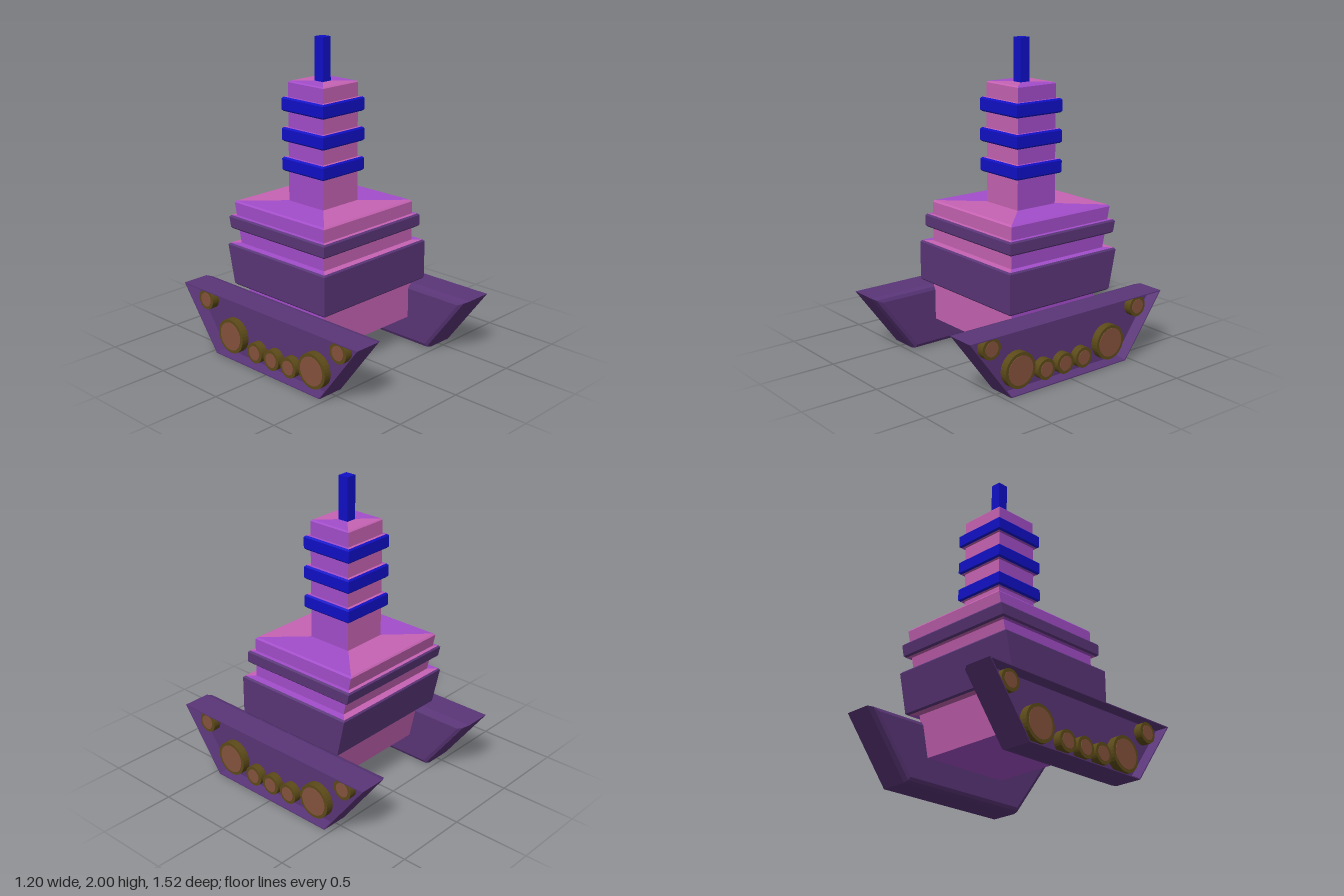
import * as THREE from 'three';

const PINK = 0xc763b4, PURPLE = 0xa34dca, DARK = 0x5a3578, BLUE = 0x1010c8, OLIVE = 0x5c4a18, BROWN = 0x85523c;
const mats = {};
const mat = (color) => (mats[color] ??= new THREE.MeshStandardMaterial({ color, flatShading: true }));

// Flat-shaded mesh from a list of four-cornered faces
function quadMesh(name, quads, color) {
  const pos = quads.flatMap(([a, b, c, d]) => [a, b, c, a, c, d].flat());
  const geo = new THREE.BufferGeometry();
  geo.setAttribute('position', new THREE.Float32BufferAttribute(pos, 3));
  geo.computeVertexNormals();
  const mesh = new THREE.Mesh(geo, mat(color));
  mesh.name = name;
  return mesh;
}

// Stack of rectangular rings; plain faces are pink front and back, purple on the sides
function stack(name, rows) {
  const group = new THREE.Group();
  group.name = name;
  const byColor = new Map();
  const ring = ({ y, hx, zf, zb }) => [[-hx, y, zf], [hx, y, zf], [hx, y, zb], [-hx, y, zb]];
  for (let r = 1; r < rows.length; r++) {
    const a = ring(rows[r - 1]), b = ring(rows[r]);
    for (let i = 0; i < 4; i++) {
      const j = (i + 1) % 4;
      const color = rows[r].color ?? (i % 2 ? PURPLE : PINK);
      if (!byColor.has(color)) byColor.set(color, []);
      byColor.get(color).push([a[i], a[j], b[j], b[i]]);
    }
  }
  const labels = { [PINK]: 'FrontAndBack', [PURPLE]: 'Sides', [DARK]: 'Bands', [BLUE]: 'Bands' };
  for (const [color, quads] of byColor) group.add(quadMesh(name + labels[color], quads, color));
  group.position.x = 0.004;
  return group;
}

// Raised band with a small chamfer; section(y, outset) gives the ring
function band(section, y0, y1, out, color) {
  const c = 0.01;
  return [
    section(y0, 0),
    section(y0, out - c),
    { ...section(y0 + c, out), color },
    { ...section(y1 - c, out), color },
    { ...section(y1, out - c), color },
    section(y1, 0),
  ];
}

// Hull with upright front and leaning back
function makeHull() {
  const section = (y, o) => ({ y, hx: 0.395 + o, zf: 0.298 + o, zb: -0.49 + (0.96 - y) * 0.218 - o });
  return stack('hull', [
    { y: 0.175, hx: 0.005, zf: 0.005, zb: -0.005 },
    { ...section(0.175, 0), color: PURPLE },
    ...band(section, 0.435, 0.7, 0.06, DARK),
    ...band(section, 0.79, 0.875, 0.035, DARK),
    section(0.955, 0),
    section(0.965, -0.01),
    { y: 0.965, hx: 0.15, zf: 0.05, zb: -0.25 },
  ]);
}

// Square tower with three bands
function makeTower() {
  const section = (y, o) => ({ y, hx: 0.152 + o, zf: 0.052 + o, zb: -0.248 - o });
  const bands = [1.16, 1.35, 1.54].flatMap((y) => band(section, y, y + 0.09, 0.029, BLUE));
  return stack('tower', [
    section(0.96, 0), ...bands, section(1.72, 0), section(1.728, -0.008),
    { y: 1.728, hx: 0.005, zf: -0.095, zb: -0.105 },
  ]);
}

// Track pod: beveled inner side, recessed outer side holding the wheels
function makeTrack(s) {
  const group = new THREE.Group();
  group.name = s > 0 ? 'leftTrack' : 'rightTrack';
  const ring = ([x, i]) => {
    const half = (y) => 0.46 + 0.75 * y - 1.25 * i;
    const t = 0.4 - i;
    return [[s * x, t, half(0.4 - i)], [s * x, t, -half(0.4 - i)], [s * x, i, -half(i)], [s * x, i, half(i)]];
  };
  const rings = [[0.378, 0.03], [0.388, 0.01], [0.42, 0], [0.6, 0], [0.6, 0.006], [0.525, 0.012]].map(ring);
  const quads = [[...rings[0]], [...rings.at(-1)].reverse()];
  for (let r = 1; r < rings.length; r++) {
    const a = rings[r - 1], b = rings[r];
    for (let i = 0; i < 4; i++) {
      const j = (i + 1) % 4;
      quads.push([b[i], b[j], a[j], a[i]]);
    }
  }
  if (s < 0) quads.forEach((q) => q.reverse());
  group.add(quadMesh('trackShell', quads, DARK));

  // Wheels as [z, y, radius], each with a tyre and a hub
  const wheels = [[0.585, 0.325, 0.066], [0.37, 0.14, 0.112], [0.17, 0.095, 0.066], [0.02, 0.095, 0.066],
    [-0.13, 0.095, 0.066], [-0.35, 0.14, 0.112], [-0.58, 0.325, 0.066]];
  const disc = (name, radius, x0, x1, y, z, color) => {
    const m = new THREE.Mesh(new THREE.CylinderGeometry(radius, radius, x1 - x0, 32), mat(color));
    m.name = name;
    m.rotation.z = -s * Math.PI / 2;
    m.position.set(s * (x0 + x1) / 2, y, z);
    group.add(m);
  };
  for (const [z, y, r] of wheels) {
    disc('wheelTyre', r, 0.515, 0.575, y, z, OLIVE);
    disc('wheelHub', r - 0.02, 0.55, 0.578, y, z, BROWN);
  }
  return group;
}

export function createModel() {
  const model = new THREE.Group();
  model.name = 'towerTank';
  model.add(makeHull(), makeTower(), makeTrack(1), makeTrack(-1));

  // Antenna
  const antenna = new THREE.Mesh(new THREE.BoxGeometry(0.068, 0.28, 0.07), mat(BLUE));
  antenna.name = 'antenna';
  antenna.position.set(0.004, 1.86, -0.1);
  model.add(antenna);
  return model;
}
